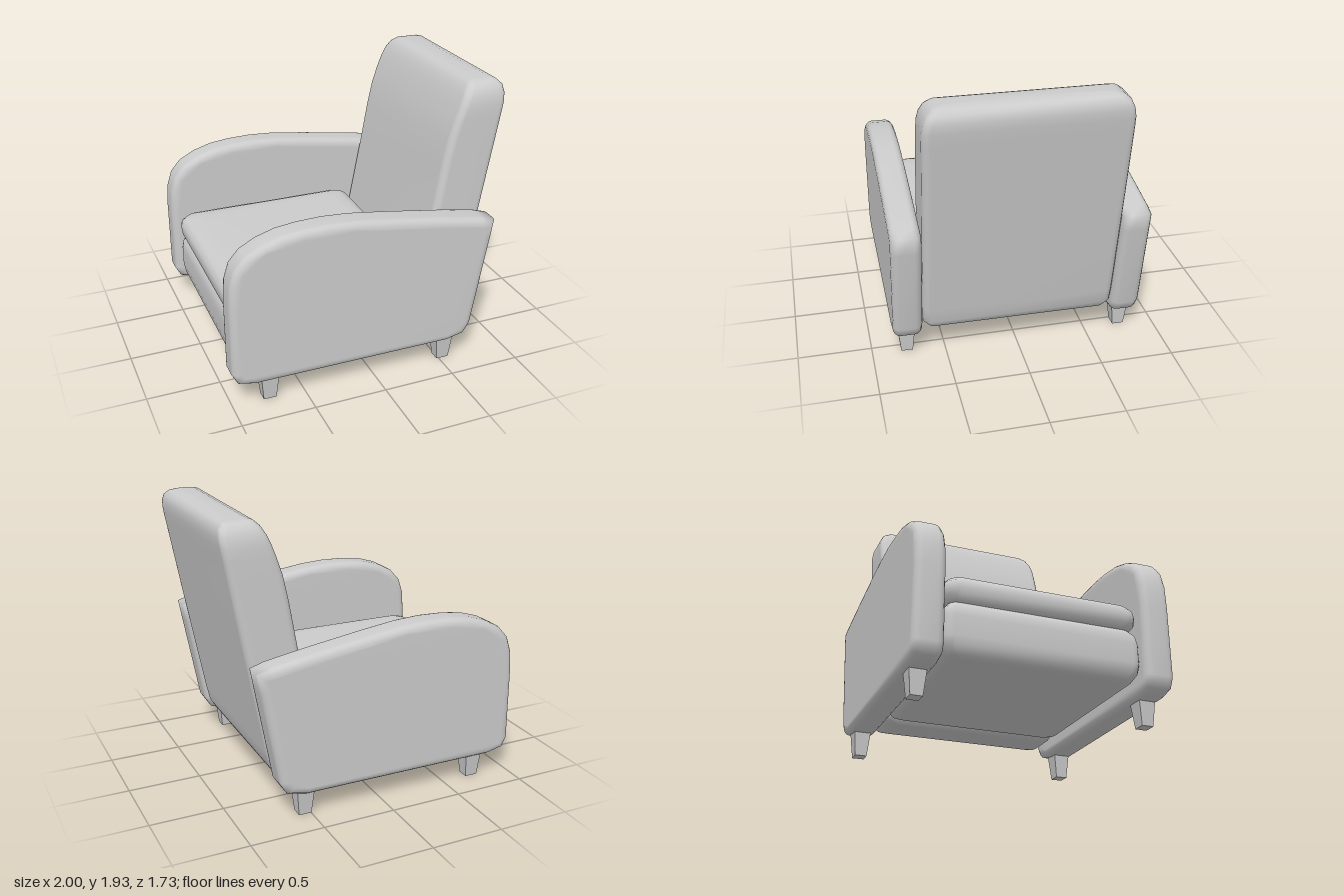
import * as THREE from 'three';
import { mergeVertices } from 'three/addons/utils/BufferGeometryUtils.js';

const material = new THREE.MeshStandardMaterial({ color: 0xcccccc });

function addMesh(parent, geometry, name) {
  const mesh = new THREE.Mesh(geometry, material);
  mesh.name = name;
  parent.add(mesh);
  return mesh;
}

// Padded block: rounded rectangles stacked upwards.
// Each section is [y, xMin, xMax, halfWidth, cornerRadius].
function padded(sections, steps = 4) {
  const pos = [], idx = [], n = 4 * (steps + 1);
  for (const [y, x0, x1, w, r] of sections) {
    for (let c = 0; c < 4; c++) {
      const cx = c === 0 || c === 3 ? x1 - r : x0 + r;
      const cz = c < 2 ? -(w - r) : w - r;
      for (let s = 0; s <= steps; s++) {
        const a = (c + s / steps) * Math.PI / 2;
        pos.push(cx + r * Math.cos(a), y, cz - r * Math.sin(a));
      }
    }
  }
  const last = (sections.length - 1) * n, centre = sections.length * n;
  for (const [y, x0, x1] of [sections[0], sections[sections.length - 1]]) {
    pos.push((x0 + x1) / 2, y, 0);
  }
  for (let i = 0; i < n; i++) {
    const k = (i + 1) % n;
    for (let j = 0; j < last; j += n) {
      idx.push(j + i, j + k, j + n + k, j + i, j + n + k, j + n + i);
    }
    idx.push(centre, k, i, centre + 1, last + i, last + k);
  }
  const g = new THREE.BufferGeometry();
  g.setAttribute('position', new THREE.Float32BufferAttribute(pos, 3));
  g.setIndex(idx);
  g.computeVertexNormals();
  return g;
}

// Side panel: curved profile with softly rounded edges.
function armGeometry() {
  const profile = [
    [-0.995, 0.26], [-0.995, 0.75], [-0.985, 0.9], [-0.95, 1.01], [-0.88, 1.09],
    [-0.77, 1.15], [-0.64, 1.19], [-0.5, 1.207], [-0.33, 1.213], [-0.15, 1.203],
    [0.1, 1.17], [0.5, 1.11], [0.76, 1.065], [0.857, 1.035], [0.835, 0.91],
    [0.72, 0.27], [0.67, 0.19], [0.54, 0.16], [-0.84, 0.16], [-0.955, 0.185],
  ].map(([x, y]) => new THREE.Vector2(x, y)).reverse();
  const g = new THREE.ExtrudeGeometry(new THREE.Shape(profile), {
    depth: 0.1, steps: 1, bevelEnabled: true, bevelThickness: 0.05,
    bevelSize: 0.055, bevelOffset: -0.055, bevelSegments: 4,
  });
  g.translate(0, 0, -0.05);
  g.deleteAttribute('uv');
  g.deleteAttribute('normal');
  const smooth = mergeVertices(g, 1e-4);
  smooth.computeVertexNormals();
  return smooth;
}

// Tapered square foot.
function footGeometry() {
  const g = new THREE.BoxGeometry(0.125, 0.2, 0.12);
  const p = g.attributes.position;
  for (let i = 0; i < p.count; i++) {
    if (p.getY(i) < 0) p.setXYZ(i, p.getX(i) * 0.7, p.getY(i), p.getZ(i) * 0.66);
  }
  const flat = g.toNonIndexed();
  flat.computeVertexNormals();
  return flat.translate(0, 0.1, 0);
}

export function createModel() {
  const model = new THREE.Group();
  model.name = 'armchair';
  const chair = new THREE.Group();
  chair.name = 'chairBody';
  chair.rotation.y = -0.008;
  model.add(chair);

  // Arms and feet, mirrored
  const arm = armGeometry(), foot = footGeometry();
  for (const side of [1, -1]) {
    const label = side > 0 ? 'left' : 'right';
    addMesh(chair, arm, label + 'Arm').position.z = side * 0.756;
    for (const x of [-0.735, 0.535]) {
      addMesh(chair, foot, label + (x < 0 ? 'FrontFoot' : 'RearFoot')).position.set(x, 0, side * 0.758);
    }
  }

  // Base under the cushion
  addMesh(chair, padded([
    [0.22, -0.87, 0.3, 0.56, 0.05],
    [0.235, -0.91, 0.33, 0.61, 0.06],
    [0.28, -0.94, 0.345, 0.64, 0.06],
    [0.34, -0.95, 0.35, 0.65, 0.06],
    [0.47, -0.95, 0.36, 0.65, 0.06],
    [0.53, -0.94, 0.36, 0.64, 0.06],
    [0.57, -0.91, 0.35, 0.61, 0.06],
    [0.58, -0.87, 0.3, 0.57, 0.05],
  ]), 'seatBase');

  // Seat cushion
  addMesh(chair, padded([
    [0.56, -0.87, 0.28, 0.56, 0.06],
    [0.575, -0.92, 0.33, 0.61, 0.08],
    [0.61, -0.95, 0.36, 0.64, 0.09],
    [0.66, -0.955, 0.37, 0.647, 0.09],
    [0.70, -0.95, 0.365, 0.64, 0.09],
    [0.735, -0.92, 0.34, 0.615, 0.09],
    [0.752, -0.87, 0.29, 0.57, 0.08],
    [0.76, -0.77, 0.2, 0.48, 0.06],
  ]), 'seatCushion');

  // Leaning backrest
  addMesh(chair, padded([
    [0.22, 0.41, 0.62, 0.54, 0.03],
    [0.24, 0.365, 0.675, 0.615, 0.045],
    [0.29, 0.35, 0.705, 0.65, 0.05],
    [0.40, 0.365, 0.73, 0.653, 0.05],
    [1.1, 0.5, 0.862, 0.653, 0.05],
    [1.4, 0.553, 0.917, 0.653, 0.05],
    [1.58, 0.592, 0.95, 0.653, 0.05],
    [1.7, 0.632, 0.972, 0.653, 0.05],
    [1.78, 0.662, 0.987, 0.651, 0.05],
    [1.84, 0.688, 0.993, 0.64, 0.05],
    [1.89, 0.717, 0.985, 0.618, 0.05],
    [1.92, 0.748, 0.955, 0.58, 0.04],
    [1.935, 0.79, 0.905, 0.53, 0.03],
  ]), 'backrest');

  return model;
}
